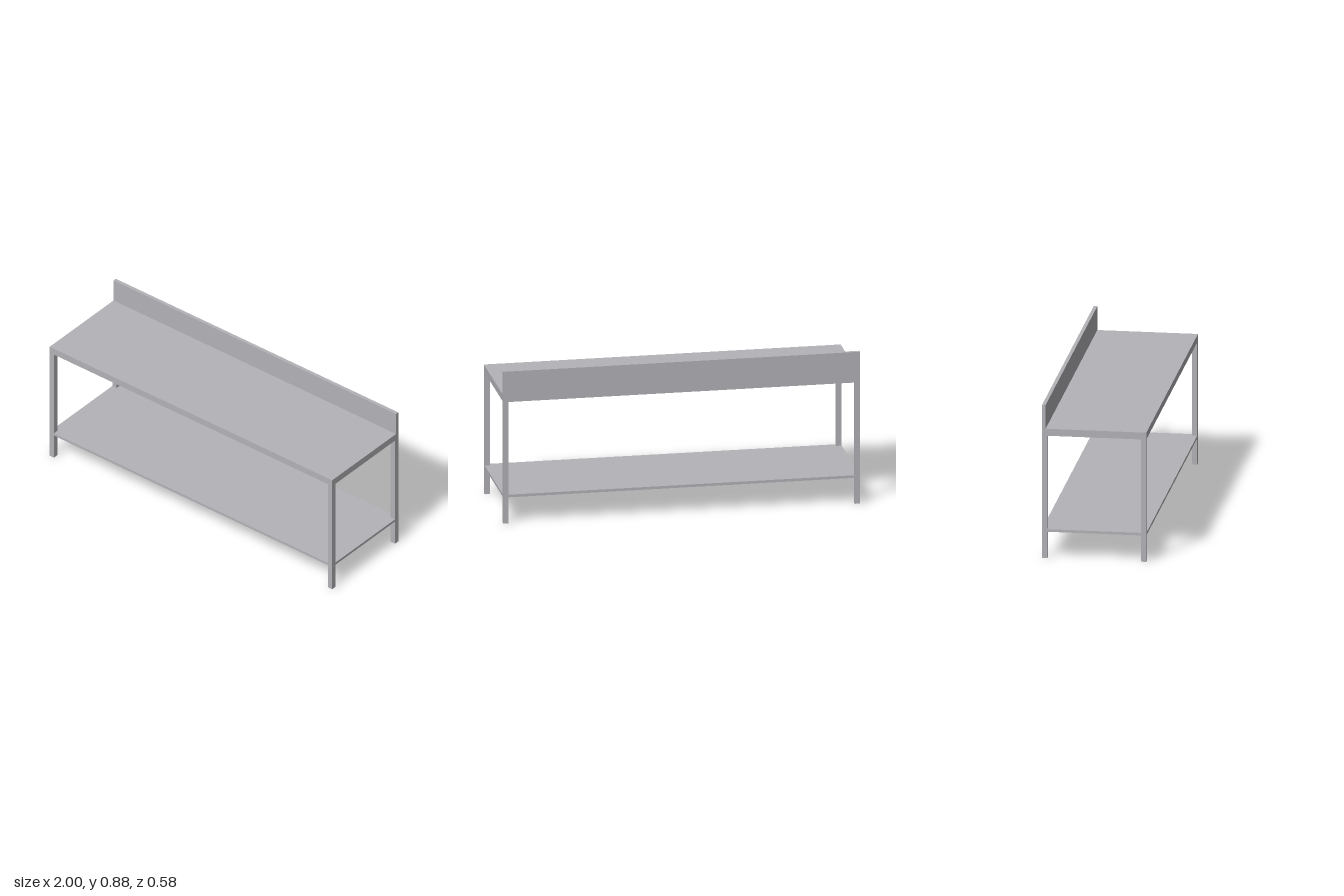
import * as THREE from 'three';

const W = 2, D = 0.58, LEG = 0.03;
const UNDER = 0.7, TOP = 0.74, BACK_TOP = 0.876, BACK_T = 0.02;
const SHELF_Y = 0.15, SHELF_T = 0.015;

const toShape = (pts) => new THREE.Shape(pts.map(([x, y]) => new THREE.Vector2(x, y)));

export function createModel() {
  const group = new THREE.Group();
  const steel = new THREE.MeshStandardMaterial({ color: 0xb3b3b8 });
  steel.name = 'brushed steel';

  const add = (name, geometry) => {
    const mesh = new THREE.Mesh(geometry, steel);
    mesh.name = name;
    group.add(mesh);
    return mesh;
  };

  // Worktop with upstand: one L-shaped section (z, y) swept along x
  const h = D / 2;
  const section = toShape([
    [-h, UNDER], [h, UNDER], [h, BACK_TOP], [h - BACK_T, BACK_TOP], [h - BACK_T, TOP], [-h, TOP],
  ]);
  const worktop = new THREE.ExtrudeGeometry(section, { depth: W, bevelEnabled: false });
  worktop.translate(0, 0, -W / 2).rotateY(Math.PI / 2);
  add('worktopWithUpstand', worktop);

  // Lower shelf, notched at the corners around the legs
  const x = W / 2, xi = x - LEG, zi = h - LEG;
  const outline = toShape([
    [-xi, -h], [xi, -h], [xi, -zi], [x, -zi], [x, zi], [xi, zi],
    [xi, h], [-xi, h], [-xi, zi], [-x, zi], [-x, -zi], [-xi, -zi],
  ]);
  const shelf = new THREE.ExtrudeGeometry(outline, { depth: SHELF_T, bevelEnabled: false });
  shelf.rotateX(-Math.PI / 2).translate(0, SHELF_Y, 0);
  add('lowerShelf', shelf);

  // Four square legs, flush with the worktop edges
  const legGeometry = new THREE.BoxGeometry(LEG, UNDER, LEG);
  for (const [side, sx] of [['Left', 1], ['Right', -1]]) {
    for (const [end, sz] of [['front', 1], ['back', -1]]) {
      add(`${end}${side}Leg`, legGeometry)
        .position.set(sx * (x - LEG / 2), UNDER / 2, sz * (h - LEG / 2));
    }
  }

  return group;
}
